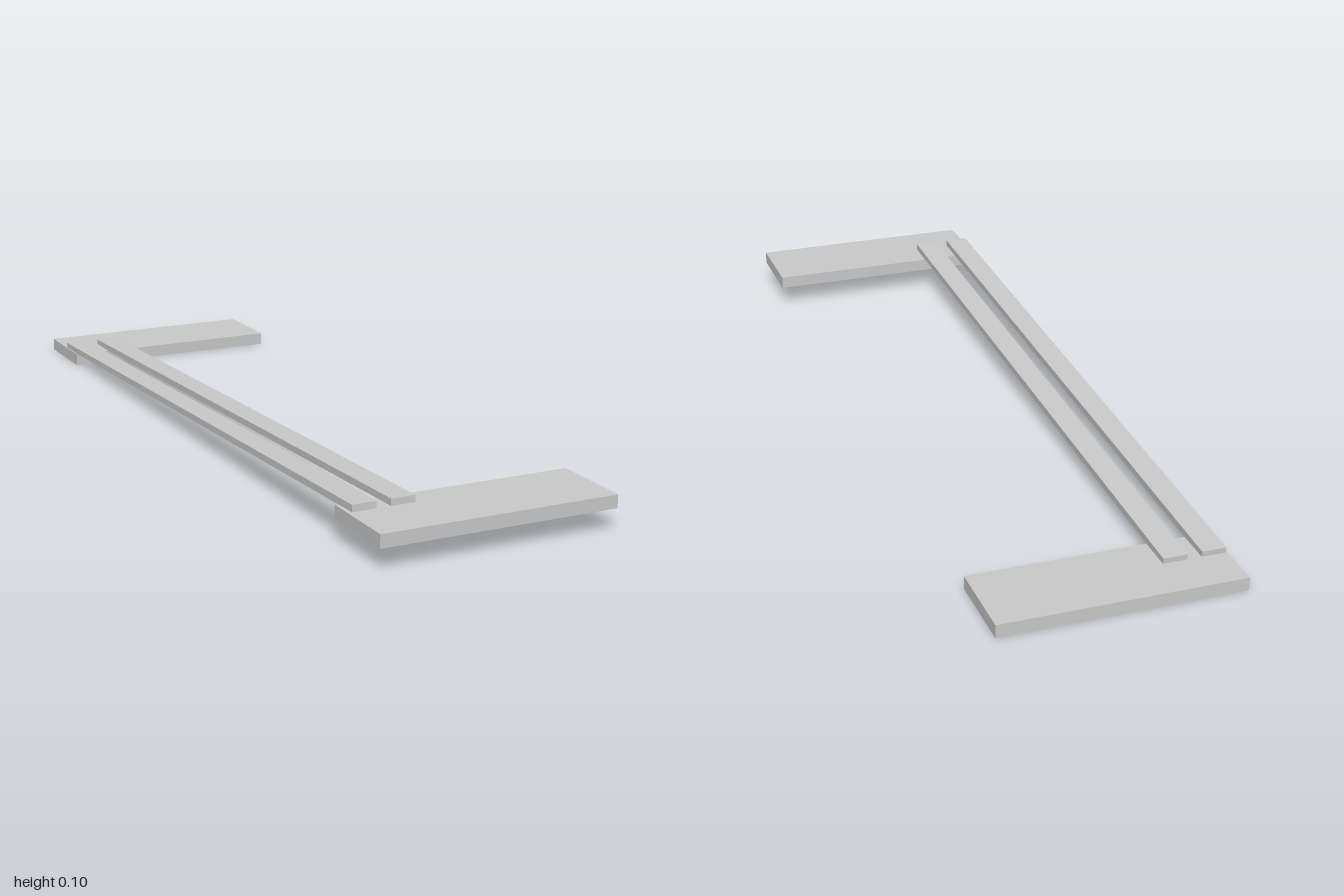
import * as THREE from 'three';

const material = new THREE.MeshStandardMaterial({ color: 0xcccccc, flatShading: true });

function box(name, size, position) {
  const mesh = new THREE.Mesh(new THREE.BoxGeometry(...size), material);
  mesh.name = name;
  mesh.position.set(...position);
  return mesh;
}

export function createModel() {
  const model = new THREE.Group();
  model.name = 'plankBridge';

  // Two landings, the front one higher than the back one
  model.add(box('frontPlatform', [0.57, 0.031, 0.2], [0, 0.067, 0.9]));
  model.add(box('backPlatform', [0.57, 0.031, 0.2], [0, 0.0155, -0.9]));

  // Pair of narrow planks sloping down from front to back
  const frontY = 0.096, backY = 0.036, frontZ = 0.872, backZ = -0.89;
  const rise = frontY - backY, run = frontZ - backZ;
  [['rightPlank', -0.2535], ['leftPlank', -0.1625]].forEach(([name, x]) => {
    const plank = box(name, [0.057, 0.016, Math.hypot(rise, run)],
      [x, (frontY + backY) / 2, (frontZ + backZ) / 2]);
    plank.rotation.x = -Math.atan2(rise, run);
    model.add(plank);
  });

  return model;
}
